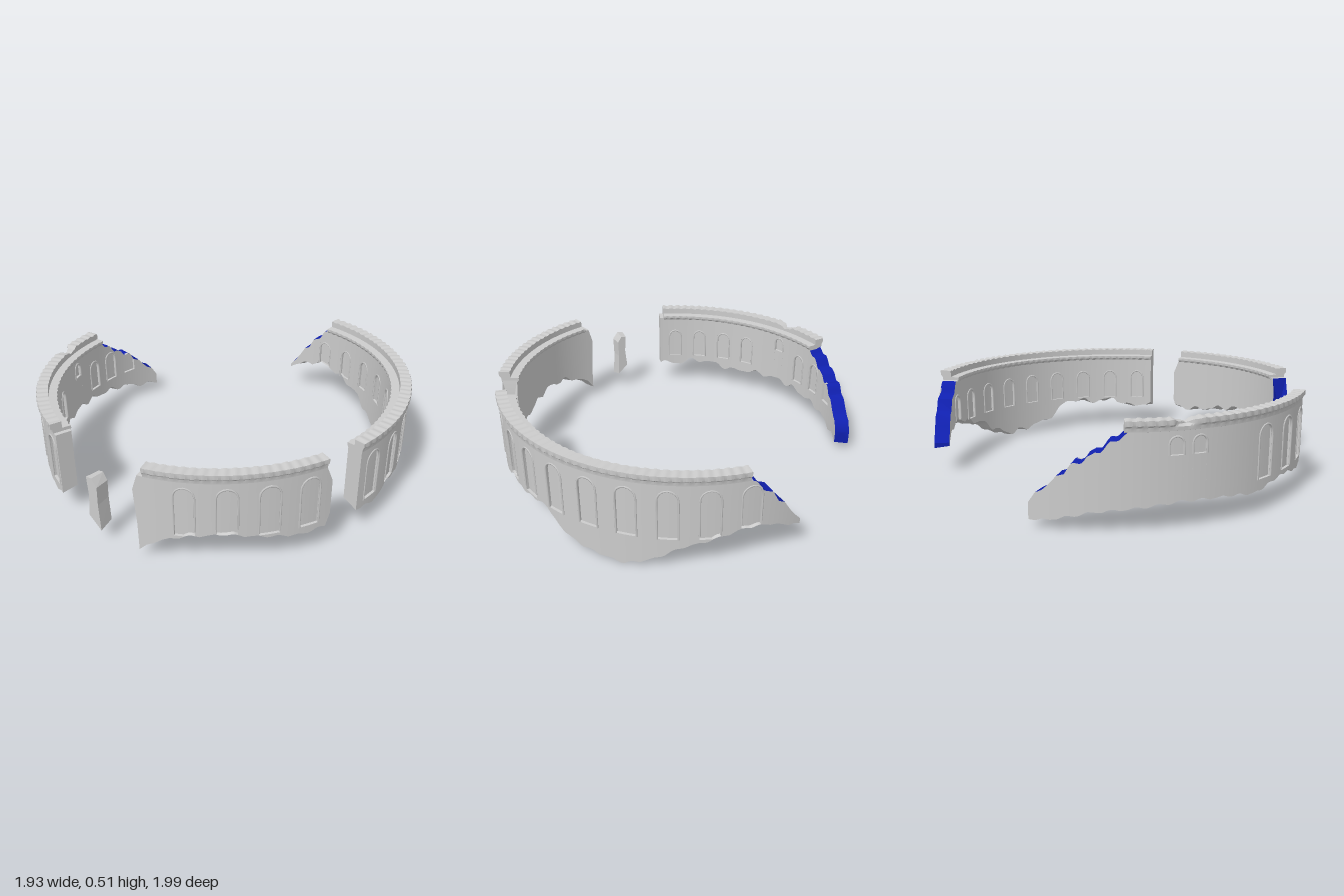
import * as THREE from 'three';
import { toCreasedNormals } from 'three/addons/utils/BufferGeometryUtils.js';

const RX = 0.953, RZ = 0.99, THICK = 0.08, TOP = 0.46, RECESS = 0.014;
const STEP = Math.PI / 16;
const stone = new THREE.MeshStandardMaterial({ color: 0xcccccc, side: THREE.DoubleSide });
const fracture = new THREE.MeshStandardMaterial({ color: 0x1020b0, side: THREE.DoubleSide });

// point on the oval at angle t, o outwards from the wall face
const onOval = (t, o, y) =>
  new THREE.Vector3((RX + o) * Math.cos(t), y, (RZ + o) * Math.sin(t));

// linear interpolation through [x, value] knots
function lerpKnots(knots, x) {
  if (x <= knots[0][0]) return knots[0][1];
  for (let i = 1; i < knots.length; i++) {
    const [x0, v0] = knots[i - 1], [x1, v1] = knots[i];
    if (x <= x1) return v0 + (v1 - v0) * (x - x0) / (x1 - x0);
  }
  return knots[knots.length - 1][1];
}

// arches: centre angle, half angle, sill and springing heights
const outerArch = (c) => ({ c, h: 0.05, sill: 0.17, spring: 0.38 });
const innerArch = (c) => ({ c, h: 0.044, sill: 0.2, spring: 0.33 });
const slit = (c) => ({ c, h: 0.034, sill: 0.35, spring: 0.4 });
const grid = (from, to) => Array.from({ length: to - from + 1 }, (_, i) => (from + i + 0.5) * STEP);
const archTop = (a, t) =>
  a.spring + a.h * Math.sqrt(Math.max(0, 1 - ((t - a.c) / a.h) ** 2));

// joins rings of points; keep(i, j) selects quads, caps close chosen ends
function loft(cols, keep, capStart, capEnd) {
  const pos = [];
  const tri = (a, b, c) => {
    const area = b.clone().sub(a).cross(c.clone().sub(a)).length();
    if (area > 1e-10) pos.push(...a.toArray(), ...b.toArray(), ...c.toArray());
  };
  const n = cols[0].length;
  for (let i = 0; i < cols.length - 1; i++)
    for (let j = 0; j < n; j++) {
      if (!keep(i, j)) continue;
      const k = (j + 1) % n;
      tri(cols[i][j], cols[i][k], cols[i + 1][j]);
      tri(cols[i][k], cols[i + 1][k], cols[i + 1][j]);
    }
  const cap = (ring, flip) => {
    const mid = new THREE.Vector3();
    ring.forEach((p) => mid.addScaledVector(p, 1 / n));
    ring.forEach((p, j) => {
      const q = ring[(j + 1) % n];
      flip ? tri(mid, q, p) : tri(mid, p, q);
    });
  };
  if (capStart) cap(cols[0], true);
  if (capEnd) cap(cols[cols.length - 1], false);
  const g = new THREE.BufferGeometry();
  g.setAttribute('position', new THREE.Float32BufferAttribute(pos, 3));
  return toCreasedNormals(g, 0.6);
}

function addMesh(group, name, geometry, material = stone) {
  const m = new THREE.Mesh(geometry, material);
  m.name = name;
  group.add(m);
}

function wallSection(w) {
  const group = new THREE.Group();
  group.name = w.name;
  const { t0, t1 } = w;

  // angles: an even spread plus the edges and curve of every arch
  const ts = new Set();
  const count = Math.ceil((t1 - t0) / 0.035);
  for (let i = 0; i <= count; i++) ts.add(t0 + (t1 - t0) * i / count);
  for (const a of [...w.outer, ...w.inner]) {
    for (const s of [-1, 1]) {
      ts.add(a.c + s * (a.h + 2e-4));
      ts.add(a.c + s * (a.h - 2e-4));
    }
    for (let k = 1; k < 10; k++) ts.add(a.c - a.h * Math.cos(Math.PI * k / 10));
  }
  const angles = [...ts].filter((t) => t >= t0 && t <= t1).sort((a, b) => a - b);

  const bottom = (t) => lerpKnots(w.bottom, t) + 0.006 * Math.sin(t * 61);
  const height = (t) => {
    const h = lerpKnots(w.top, t);
    return h < TOP ? h + 0.012 * Math.sin(t * 75) : TOP;
  };
  // ragged ends: shifts the angle near each end depending on height
  const rag = (t, y) => {
    let d = 0;
    if (w.startEdge) d += (lerpKnots(w.startEdge, y) - t0) * Math.max(0, 1 - (t - t0) / 0.05);
    if (w.endEdge) d += (lerpKnots(w.endEdge, y) - t1) * Math.max(0, 1 - (t1 - t) / 0.12);
    return t + d;
  };
  const face = (t, arches, base, dir, b, top) => {
    const a = arches.find((q) => Math.abs(t - q.c) <= q.h);
    const clamp = (y) => Math.min(top, Math.max(b, y));
    const lo = clamp(a ? a.sill : 0.2), hi = clamp(a ? archTop(a, t) : 0.38);
    const deep = base - dir * (a ? RECESS : 0);
    return [[base, b], [base, lo], [deep, lo], [deep, hi], [base, hi], [base, top]];
  };
  const cols = angles.map((t) => {
    const top = height(t), b = Math.min(bottom(t), top - 0.01);
    const bi = Math.min(b + 0.02 + 0.012 * Math.sin(t * 37), top - 0.005);
    const ring = [...face(t, w.outer, 0, 1, b, top),
      ...face(t, w.inner, -THICK, -1, bi, top).reverse()];
    return ring.map(([o, y]) => onOval(rag(t, y), o, y));
  });
  const broken = (i, j) => j === 5 && height(angles[i + 1]) < TOP - 0.001;
  const blueStart = w.blue === 'start';
  addMesh(group, 'wall', loft(cols, (i, j) => !broken(i, j), !blueStart, blueStart));
  addMesh(group, 'brokenEnd', loft(cols, broken, blueStart, !blueStart), fracture);

  // stepped cornice with a finely notched edge
  const profile = [[-0.04, 0.445], [0.002, 0.46], [0.004, 0.478], [0.014, 0.488], [0.014, 0.512],
    [-0.045, 0.512], [-0.045, 0.477], [-0.09, 0.475], [-0.09, 0.462], [-0.077, 0.445]];
  const [c0, c1] = w.cornice;
  const rings = [];
  const notches = Math.ceil((c1 - c0) / 0.012);
  for (let i = 0; i <= notches; i++) {
    const t = c0 + (c1 - c0) * i / notches;
    const nick = w.nick ? Math.max(0, 1 - Math.abs(t - w.nick) / 0.06) : 0;
    const cut = i % 4 < 2 ? 0 : 0.004;
    rings.push(profile.map(([o, y], j) => {
      const edge = j === 3 || j === 4 ? -cut - nick * 0.03 : j === 7 || j === 8 ? cut : 0;
      const drop = j === 4 || j === 5 ? cut + nick * 0.02 : 0;
      return onOval(t, o + edge, y - drop);
    }));
  }
  addMesh(group, 'cornice', loft(rings, () => true, true, true));

  // raised moulding around each arch
  const moulding = (a, o) => {
    if (height(a.c) < a.spring + a.h + 0.01 || a.c - a.h < t0 || a.c + a.h > t1) return;
    const sill = Math.max(a.sill, bottom(a.c) + 0.03);
    const pts = [onOval(a.c - a.h, o, sill), onOval(a.c - a.h, o, (sill + a.spring) / 2)];
    for (let k = 0; k <= 8; k++) {
      const t = a.c - a.h * Math.cos(Math.PI * k / 8);
      pts.push(onOval(t, o, archTop(a, t)));
    }
    pts.push(onOval(a.c + a.h, o, (sill + a.spring) / 2), onOval(a.c + a.h, o, sill));
    const path = new THREE.CatmullRomCurve3(pts);
    addMesh(group, 'archMoulding', new THREE.TubeGeometry(path, 28, 0.005, 5));
  };
  w.outer.forEach((a) => moulding(a, 0));
  w.inner.forEach((a) => moulding(a, -THICK));
  return group;
}

export function createModel() {
  const model = new THREE.Group();
  model.name = 'ruinedArcade';

  model.add(wallSection({
    name: 'backLeftWall', t0: -1.75, t1: 0.2, blue: 'start', cornice: [-1.46, 0.2],
    outer: grid(-8, 0).map(outerArch), inner: grid(-8, 0).map(innerArch),
    top: [[-1.75, 0.16], [-1.68, 0.25], [-1.57, 0.37], [-1.52, 0.41], [-1.46, TOP]],
    bottom: [[-1.75, 0.14], [-1.68, 0.16], [-1.57, 0.2], [-1.45, 0.21], [-1.3, 0.17], [-1.15, 0.13],
      [-1, 0.05], [-0.87, 0.006], [-0.75, 0.02], [-0.62, 0.04], [-0.5, 0.09], [-0.42, 0.17],
      [-0.2, 0.15], [-0.07, 0.17], [0.03, 0.12], [0.2, 0.14]],
  }));

  model.add(wallSection({
    name: 'frontLeftWall', t0: 0.385, t1: 1.29, blue: 'end', cornice: [0.41, 1.27],
    outer: grid(2, 5).map(outerArch), inner: [],
    startEdge: [[0.13, 0.4], [0.3, 0.34], [0.46, 0.41]],
    endEdge: [[0.05, 1.31], [0.3, 1.315], [0.43, 1.335], [0.46, 1.3]],
    top: [[0, TOP]],
    bottom: [[0.38, 0.14], [0.53, 0.13], [0.7, 0.16], [0.9, 0.19], [1.08, 0.17], [1.2, 0.13], [1.29, 0.05]],
  }));

  model.add(wallSection({
    name: 'rightWall', t0: 1.86, t1: 3.5, blue: 'end', cornice: [1.885, 3.06], nick: 2.79,
    outer: [1.927, 2.128, 2.33].map(outerArch).concat([2.72, 2.83].map(slit)),
    inner: [1.97, 2.15, 2.33, 2.51, 2.96, 3.12, 3.28].map(innerArch).concat(slit(2.775)),
    top: [[3.06, TOP], [3.1, 0.42], [3.3, 0.3], [3.5, 0.13]],
    bottom: [[1.86, 0.13], [1.97, 0.12], [2.12, 0.15], [2.25, 0.14], [2.4, 0.11], [2.55, 0.13],
      [2.8, 0.14], [3, 0.12], [3.2, 0.1], [3.4, 0.05], [3.5, 0.04]],
  }));

  // lone shard standing in the front gap
  const outline = [[-0.035, 0.14], [0.04, 0.08], [0.032, 0.22], [0.035, 0.32], [0.005, 0.36], [-0.03, 0.355], [-0.022, 0.25]];
  const shard = new THREE.ExtrudeGeometry(
    new THREE.Shape(outline.map(([x, y]) => new THREE.Vector2(x, y))), { depth: 0.075, bevelEnabled: false });
  shard.translate(0, 0, 0.92);
  const p = shard.attributes.position;
  for (let i = 0; i < p.count; i++)
    if (p.getZ(i) < 0.95) p.setXY(i, p.getX(i) * 0.8, p.getY(i) * 0.92 + 0.025);
  shard.computeVertexNormals();
  addMesh(model, 'shard', shard);
  return model;
}
